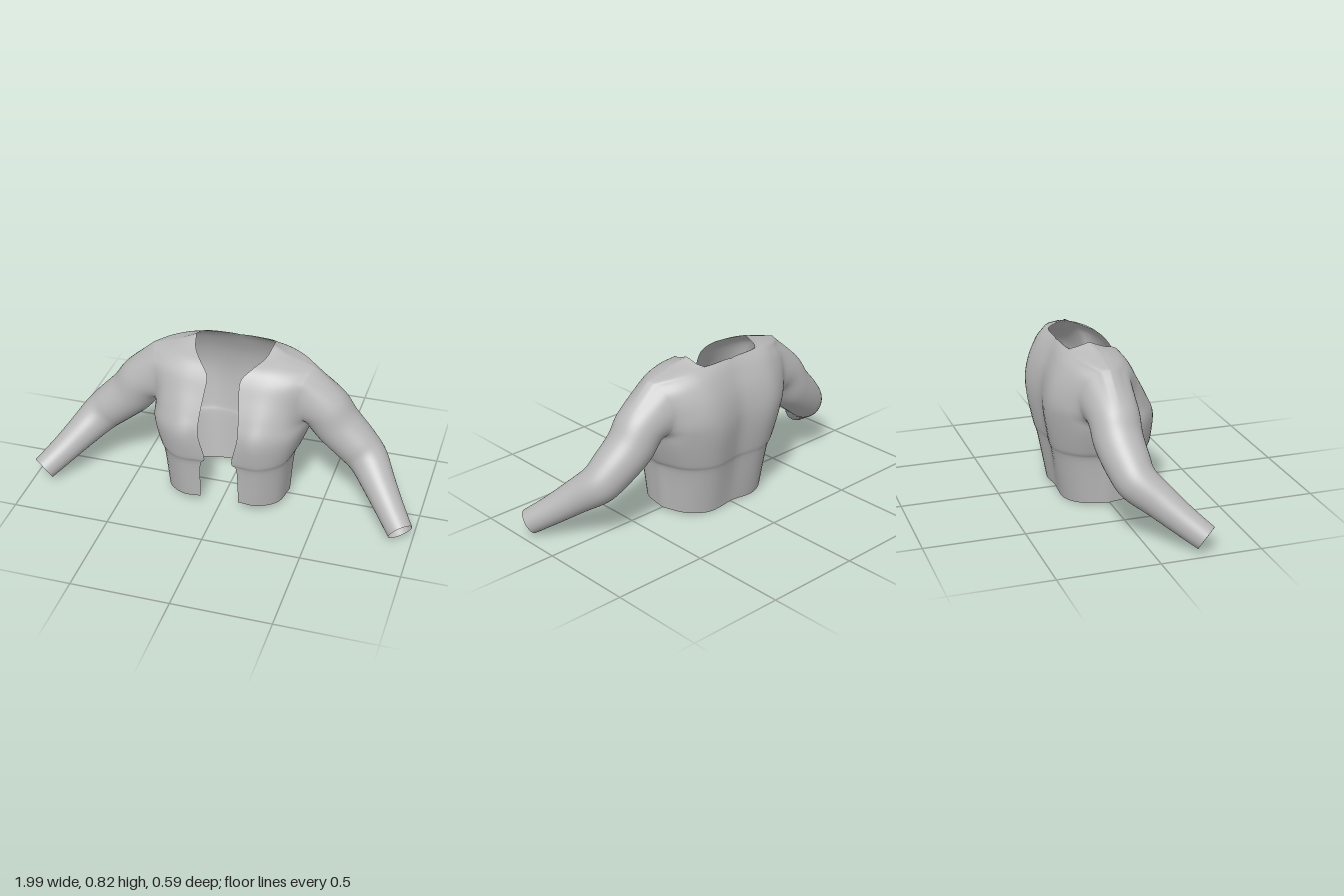
import * as THREE from 'three';
import { mergeVertices } from 'three/addons/utils/BufferGeometryUtils.js';

const S = 5;        // subdivisions between guide points
const ARMPIT = 3;   // guide row where the sleeve opening starts

const V = (x, y, z) => new THREE.Vector3(x, y, z);
const guide = (...points) => points.map((p) => V(...p));

// Smooth curve through points, S samples per span
function smooth(points) {
  const curve = new THREE.CatmullRomCurve3(points, false, 'catmullrom', 0.5);
  return curve.getPoints((points.length - 1) * S);
}

// Panel grid [row][column] from three upright guides; the flank between
// chest and seam is rounded outward in proportion to its depth
function panel(edge, chest, seam) {
  const across = edge.map((e, i) => {
    const depth = chest[i].z - seam[i].z;
    const flank = chest[i].clone().lerp(seam[i], 0.5)
      .add(V(0.15 * Math.abs(depth), 0, 0.15 * depth));
    return smooth([e, chest[i], flank, seam[i]]);
  });
  const columns = across[0].map((_, c) => smooth(across.map((row) => row[c])));
  return columns[0].map((_, r) => columns.map((column) => column[r]));
}

// Triangles of a grid, optionally flipped or mirrored to the other side
function triangles(grid, flip, mirror) {
  const out = [];
  const add = (...pts) => pts.forEach((p) => out.push(mirror ? -p.x : p.x, p.y, p.z));
  for (let r = 0; r < grid.length - 1; r++) {
    for (let c = 0; c < grid[r].length - 1; c++) {
      const a = grid[r][c], b = grid[r][c + 1], d = grid[r + 1][c], e = grid[r + 1][c + 1];
      if (flip !== mirror) add(a, e, b, a, d, e);
      else add(a, b, e, a, e, d);
    }
  }
  return out;
}

// Front guides, hem to shoulder: opening edge, chest, side seam and armhole
const frontEdge = guide([.1, .035, .2], [.095, .24, .215], [.07, .29, .225], [.1, .43, .235],
  [.1, .52, .21], [.09, .62, .165], [.085, .71, .12], [.13, .76, .075], [.18, .79, 0], [.2, .825, -.08]);
const frontChest = guide([.2, .03, .195], [.21, .24, .22], [.21, .3, .238], [.21, .43, .25],
  [.21, .53, .21], [.21, .63, .158], [.21, .705, .118], [.23, .755, .07], [.26, .782, .002], [.28, .795, -.06]);
const frontSeam = guide([.315, .015, -.02], [.335, .24, -.02], [.36, .3, -.03], [.405, .425, -.05],
  [.385, .5, .055], [.375, .6, .08], [.39, .69, .06], [.405, .73, .01], [.415, .745, -.02], [.425, .75, -.05]);

// Back guides: centre back and neckline, shoulder blade, armhole
const backEdge = guide([0, .01, -.2], [0, .24, -.23], [0, .3, -.245], [0, .44, -.265],
  [0, .54, -.27], [0, .64, -.255], [0, .73, -.22], [0, .79, -.187], [.17, .795, -.175], [.2, .825, -.08]);
const backChest = guide([.15, 0, -.2], [.16, .24, -.245], [.17, .3, -.262], [.18, .44, -.29],
  [.18, .54, -.295], [.18, .64, -.275], [.18, .73, -.234], [.2, .775, -.192], [.26, .787, -.145], [.28, .795, -.06]);
const backArmhole = guide([.385, .5, -.165], [.375, .6, -.19], [.39, .69, -.16],
  [.405, .73, -.11], [.415, .745, -.085]);
const backSeam = [...frontSeam.slice(0, ARMPIT + 1), ...backArmhole, frontSeam.at(-1)];

// Sleeve centre line and radius, upper arm to cuff
const shoulder = V(.4, .59, -.05);
const sleeveCentres = guide([.48, .53, -.05], [.55, .44, -.05], [.65, .35, -.035],
  [.72, .285, -.01], [.79, .215, .07], [.865, .14, .155], [.943, .067, .245]);
const sleeveRadii = [.125, .12, .11, .1, .085, .073, .064];

// Sleeve lofted from the armhole loop through round rings
function sleeveGrid(armhole) {
  const path = new THREE.CatmullRomCurve3([shoulder, ...sleeveCentres]);
  const rings = sleeveCentres.map((centre, i) => {
    const along = path.getTangent((i + 1) / sleeveCentres.length);
    const forward = V(0, 0, 1).addScaledVector(along, -along.z).normalize();
    return { centre, forward, up: forward.clone().cross(along), radius: sleeveRadii[i] };
  });
  return armhole.map((p) => {
    const a = Math.atan2(p.z - shoulder.z, p.y - shoulder.y);
    return smooth([p, ...rings.map(({ centre, forward, up, radius }) => centre.clone()
      .addScaledVector(up, radius * Math.cos(a))
      .addScaledVector(forward, radius * Math.sin(a)))]);
  });
}

export function createModel() {
  const group = new THREE.Group();
  group.name = 'croppedJacket';
  const fabric = new THREE.MeshStandardMaterial({ color: 0xb8b8b8, side: THREE.DoubleSide });
  fabric.name = 'grey fabric';

  const front = panel(frontEdge, frontChest, frontSeam);
  const back = panel(backEdge, backChest, backSeam);
  const last = front[0].length - 1;

  // Close the side seams and keep the centre back straight
  back.forEach((row, r) => {
    row.forEach((p) => { p.x = Math.max(0, p.x); });
    if (r <= ARMPIT * S) {
      row[last].lerp(front[r][last], 0.5);
      front[r][last] = row[last];
    }
  });

  // Armhole loop: up the front, down the back
  const armhole = [
    ...front.slice(ARMPIT * S).map((row) => row[last]),
    ...back.slice(ARMPIT * S, -1).map((row) => row[last]).reverse(),
  ];
  const sleeve = sleeveGrid(armhole);

  const parts = [];
  for (const mirror of [false, true]) {
    const name = mirror ? 'right' : 'left';
    parts.push({ name: name + 'FrontPanel', data: triangles(front, false, mirror) });
    parts.push({ name: name + 'BackPanel', data: triangles(back, true, mirror) });
    parts.push({ name: name + 'Sleeve', data: triangles(sleeve, false, mirror) });
  }

  // Shared normals so that the panels blend smoothly across seams
  let whole = new THREE.BufferGeometry();
  whole.setAttribute('position', new THREE.Float32BufferAttribute(parts.flatMap((p) => p.data), 3));
  whole = mergeVertices(whole, 1e-4);
  whole.computeVertexNormals();
  whole = whole.toNonIndexed();

  let offset = 0;
  for (const { name, data } of parts) {
    const geometry = new THREE.BufferGeometry();
    for (const key of ['position', 'normal']) {
      const values = whole.attributes[key].array.slice(offset, offset + data.length);
      geometry.setAttribute(key, new THREE.BufferAttribute(values, 3));
    }
    offset += data.length;
    const mesh = new THREE.Mesh(geometry, fabric);
    mesh.name = name;
    group.add(mesh);
  }
  return group;
}
